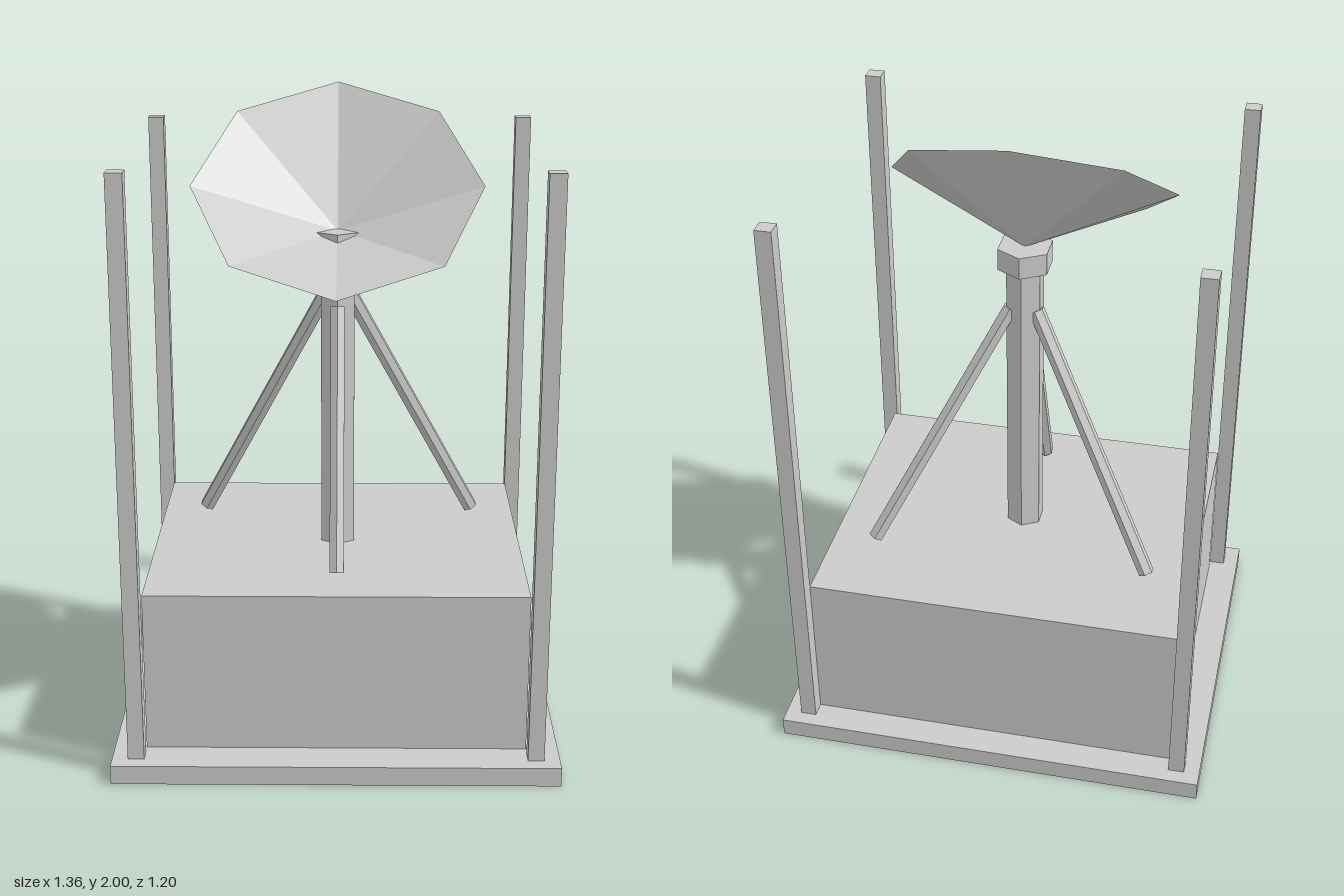
import * as THREE from 'three';

export function createModel() {
  const model = new THREE.Group();
  const grey = new THREE.MeshStandardMaterial({ color: 0xcccccc, flatShading: true });
  const thin = grey.clone();
  thin.side = THREE.DoubleSide;

  function add(name, geometry, x, y, z, material = grey) {
    const mesh = new THREE.Mesh(geometry, material);
    mesh.name = name;
    mesh.position.set(x, y, z);
    model.add(mesh);
    return mesh;
  }

  // Straight six-sided rod between two points
  function rod(name, from, to, radius) {
    const a = new THREE.Vector3(...from);
    const b = new THREE.Vector3(...to);
    const dir = b.clone().sub(a);
    const mid = a.clone().add(b).multiplyScalar(0.5);
    const mesh = add(name, new THREE.CylinderGeometry(radius, radius, dir.length(), 6), mid.x, mid.y, mid.z);
    mesh.quaternion.setFromUnitVectors(new THREE.Vector3(0, 1, 0), dir.normalize());
  }

  // Slab and the block standing on it
  add('baseSlab', new THREE.BoxGeometry(1.36, 0.06, 1.2), 0, 0.03, 0);
  add('block', new THREE.BoxGeometry(1.165, 0.505, 0.985), 0, 0.3125, -0.0125);

  // Corner posts
  for (const sx of [-1, 1]) {
    for (const sz of [-1, 1]) {
      add('cornerPost', new THREE.BoxGeometry(0.05, 1.79, 0.05), sx * 0.607, 0.955, sz * 0.529);
    }
  }

  // Hexagonal mast with its wider head
  add('mast', new THREE.CylinderGeometry(0.06, 0.06, 0.945, 6), 0, 1.0375, 0);
  add('mastHead', new THREE.CylinderGeometry(0.087, 0.087, 0.07, 6), 0, 1.545, 0);

  // Tripod struts
  rod('frontStrut', [0, 0.585, 0.345], [0, 1.345, 0.045], 0.025);
  for (const s of [-1, 1]) {
    rod('rearStrut', [s * 0.442, 0.585, -0.238], [s * 0.04, 1.37, -0.02], 0.025);
  }

  // Shallow eight-sided dish, tipped towards the front
  const dishShape = new THREE.LatheGeometry(
    [new THREE.Vector2(0, 0), new THREE.Vector2(0.441, 0.2)], 8);
  const dish = add('dish', dishShape, 0, 1.575, -0.003, thin);
  dish.rotation.x = Math.atan2(0.53, 0.705);

  return model;
}
